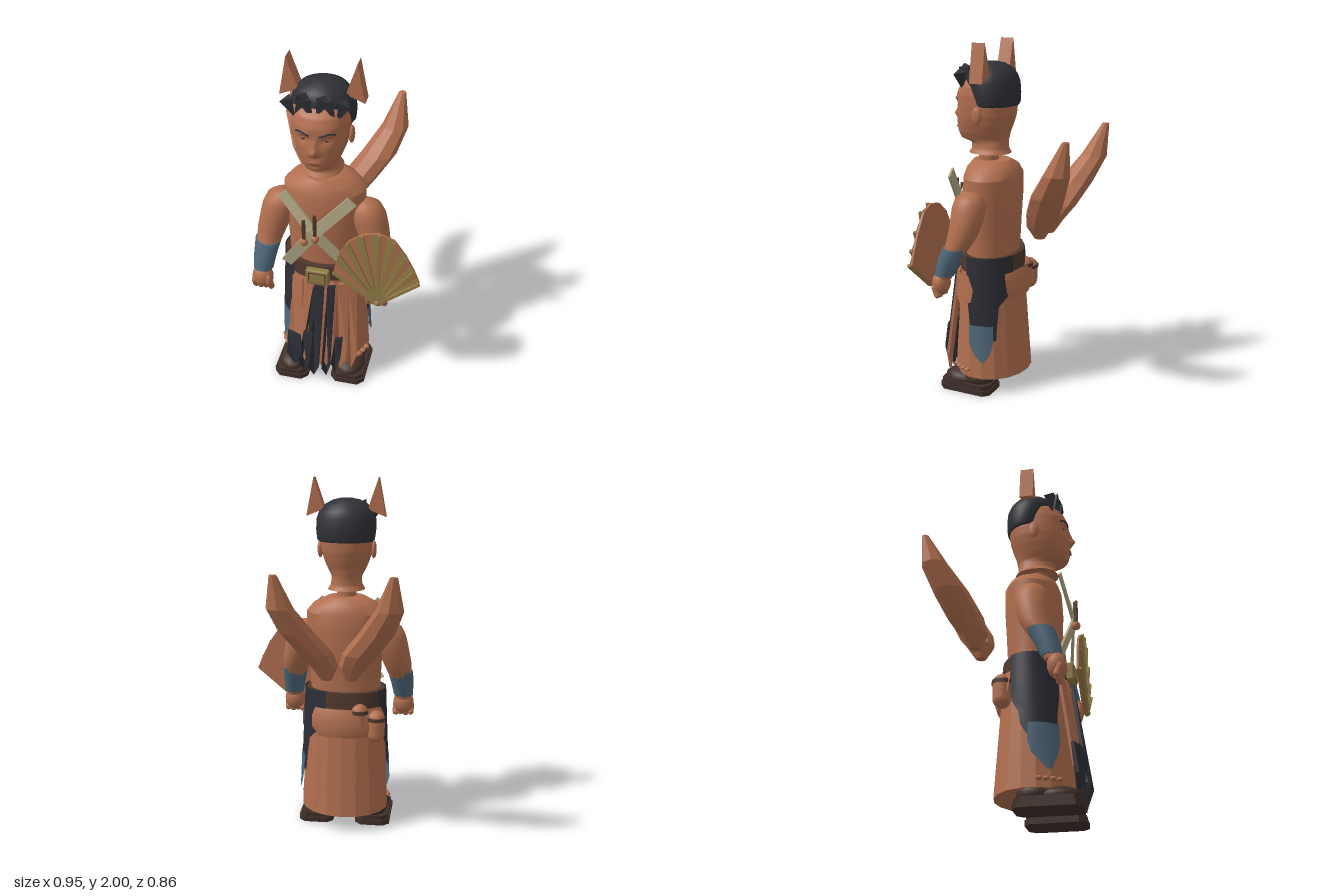
import * as THREE from 'three';
import { toCreasedNormals } from 'three/addons/utils/BufferGeometryUtils.js';
import { RoundedBoxGeometry } from 'three/addons/geometries/RoundedBoxGeometry.js';

const mat = (name, color, side = THREE.FrontSide) => {
  const m = new THREE.MeshStandardMaterial({ color, side });
  m.name = name;
  return m;
};
const D = THREE.DoubleSide;
const skin = mat('tan', 0xb16f4f, D), hairMat = mat('hair black', 0x303136), dark = mat('dark cloth', 0x2d2e36, D);
const blue = mat('slate blue', 0x4f687a, D), leather = mat('belt brown', 0x4f382d), shoeMat = mat('shoe brown', 0x3f2f29);
const cream = mat('sash cream', 0xb3a885), gold = mat('dull gold', 0x917b45, D), lipMat = mat('lip brown', 0x96593f);

const CX = -0.09; // body centre line
const V = (x, y, z) => new THREE.Vector3(x, y, z);
const lerp = THREE.MathUtils.lerp;
const sides = [-1, 1];
const flat = g => { const f = g.toNonIndexed(); f.computeVertexNormals(); return f; };

// horizontal oval cross-section running from z0 (back) to z1 (front)
const oval = (y, cx, rx, z0, z1, n) => Array.from({ length: n }, (_, j) => {
  const a = j / n * Math.PI * 2;
  return V(cx + rx * Math.sin(a), y, (z0 + z1) / 2 + (z1 - z0) / 2 * Math.cos(a));
});

// closed skin through rings listed from bottom to top
function loft(rings) {
  const n = rings[0].length, pos = [], idx = [];
  rings.forEach(r => r.forEach(p => pos.push(p.x, p.y, p.z)));
  for (let i = 0; i < rings.length - 1; i++) for (let j = 0; j < n; j++) {
    const k = (j + 1) % n, a = i * n + j, b = i * n + k;
    idx.push(a, b, b + n, a, b + n, a + n);
  }
  [rings[0], rings[rings.length - 1]].forEach((r, top) => {
    const base = pos.length / 3, c = r.reduce((s, p) => s.add(p), V(0, 0, 0)).divideScalar(n);
    [...r, c].forEach(p => pos.push(p.x, p.y, p.z));
    for (let j = 0; j < n; j++) {
      const k = (j + 1) % n;
      idx.push(base + n, base + (top ? j : k), base + (top ? k : j));
    }
  });
  const g = new THREE.BufferGeometry();
  g.setAttribute('position', new THREE.Float32BufferAttribute(pos, 3));
  g.setIndex(idx);
  g.computeVertexNormals();
  return g;
}

// skirt surface, shared by the skirt and the cloth lying on it
const skirtAt = (a, y, off = 0) => {
  const t = (0.8 - y) / 0.7;
  return V(CX + (lerp(0.22, 0.25, t) + off) * Math.sin(a), y, 0.14 + (lerp(0.165, 0.22, t) + off) * Math.cos(a));
};

// head surface: rows of y, half width, back z, front z, plus soft bumps for the features
const headRows = [[1.385, 0.103, 0.036, 0.275], [1.41, 0.088, 0.05, 0.258], [1.445, 0.083, 0.05, 0.262], [1.462, 0.088, 0.047, 0.325],
  [1.5, 0.108, 0.04, 0.342], [1.55, 0.128, 0.022, 0.344], [1.6, 0.141, 0.008, 0.344], [1.65, 0.147, 0.003, 0.34],
  [1.71, 0.148, 0.006, 0.34], [1.76, 0.142, 0.015, 0.318], [1.8, 0.125, 0.03, 0.26], [1.84, 0.08, 0.07, 0.2]];
const bumps = [[0, 1.587, 0.017, 0.021, 0.03], [0, 1.625, 0.013, 0.03, 0.016], [0.02, 1.575, 0.012, 0.013, 0.008], [0.058, 1.645, 0.028, 0.02, -0.012],
  [0.055, 1.685, 0.035, 0.014, 0.005], [0, 1.522, 0.03, 0.016, 0.007], [0, 1.498, 0.04, 0.01, -0.004], [0, 1.475, 0.03, 0.016, 0.006]];
function headRow(y) {
  let i = 0;
  while (i < headRows.length - 2 && y > headRows[i + 1][0]) i++;
  const p = headRows[i], q = headRows[i + 1], t = (y - p[0]) / (q[0] - p[0]);
  return p.map((v, k) => lerp(v, q[k], t));
}
function headPoint(a, y) {
  const [, rx, zb, zf] = headRow(y), s = Math.sin(a), c = Math.cos(a);
  const x = rx * Math.sign(s) * Math.abs(s) ** 0.95, zc = (zb + zf) / 2;
  let z = zc + (zf - zc) * Math.sign(c) * Math.abs(c) ** 0.85;
  if (c > 0) for (const [bx, by, sx, sy, h] of bumps)
    z += h * Math.exp(-(((Math.abs(x) - bx) / sx) ** 2) - ((y - by) / sy) ** 2);
  return V(CX + x, y, z);
}
const facePoint = (dx, y) => headPoint(Math.sign(dx) * Math.asin((Math.abs(dx) / headRow(y)[1]) ** (1 / 0.95)), y);

export function createModel() {
  const root = new THREE.Group();
  root.name = 'figure';
  const add = (name, g, m, x = 0, y = 0, z = 0) => {
    const o = new THREE.Mesh(g, m);
    o.name = name;
    o.position.set(x, y, z);
    root.add(o);
    return o;
  };
  const ball = (name, m, p, rx, ry = rx, rz = rx, n = 18) => add(name, new THREE.SphereGeometry(1, n, 12), m, p.x, p.y, p.z).scale.set(rx, ry, rz);
  // flat bar between two points, facing forward
  const bar = (name, m, p, q, w, t) => {
    const y = q.clone().sub(p), len = y.length();
    y.normalize();
    const x = y.clone().cross(V(0, 0, 1)).normalize(), z = x.clone().cross(y);
    const g = new THREE.BoxGeometry(w, len, t).applyMatrix4(new THREE.Matrix4().makeBasis(x, y, z));
    const c = p.clone().add(q).multiplyScalar(0.5);
    return add(name, g, m, c.x, c.y, c.z);
  };

  // torso and neck
  add('torso', toCreasedNormals(loft([[0.74, 0.2, 0, 0.28], [0.85, 0.2, -0.005, 0.285], [1, 0.207, -0.012, 0.29], [1.15, 0.222, -0.02, 0.295],
    [1.26, 0.222, -0.02, 0.29], [1.31, 0.18, 0, 0.275], [1.345, 0.105, 0.04, 0.25]].map(r => oval(r[0], CX, r[1], r[2], r[3], 28))), 0.5), skin);
  add('neckStub', new THREE.CylinderGeometry(0.056, 0.056, 0.07, 20), skin, CX, 1.36, 0.165);

  // head
  const headRings = Array.from({ length: 60 }, (_, i) => {
    const y = lerp(1.385, 1.84, i / 59);
    return Array.from({ length: 80 }, (_, j) => headPoint(j / 80 * Math.PI * 2 + 1e-4, y));
  });
  add('head', loft(headRings), skin);
  for (const s of sides) {
    ball('ear', skin, V(CX + s * 0.15, 1.605, 0.165), 0.016, 0.05, 0.03);
    const e = facePoint(s * 0.058, 1.645);
    ball('eye', lipMat, e, 0.022, 0.009, 0.005);
    ball('iris', leather, e.clone().add(V(0, 0, 0.003)), 0.008, 0.007, 0.004);
    const brow = [0.025, 0.05, 0.075, 0.1].map((d, i) => facePoint(s * d, [1.674, 1.684, 1.688, 1.678][i]));
    add('eyebrow', new THREE.TubeGeometry(new THREE.CatmullRomCurve3(brow), 12, 0.005, 6), hairMat);
  }
  ball('lips', lipMat, facePoint(0.0001, 1.522).add(V(0, 0, -0.002)), 0.032, 0.009, 0.005);

  // hair cap, fringe and pointed ears
  add('hair', loft([[1.655, 0.15, -0.004, 0.235], [1.668, 0.16, -0.01, 0.24], [1.72, 0.166, -0.013, 0.255], [1.78, 0.164, -0.01, 0.275],
    [1.82, 0.15, 0.005, 0.272], [1.855, 0.118, 0.03, 0.25], [1.878, 0.075, 0.07, 0.215], [1.888, 0.03, 0.11, 0.17]].map(r => oval(r[0], CX, r[1], r[2], r[3], 36))), hairMat);
  [[-0.22, 1.775, 0.35], [-0.175, 1.805, -0.45], [-0.125, 1.79, 0.3], [-0.07, 1.805, -0.4], [-0.015, 1.795, 0.35], [0.03, 1.785, -0.35]].forEach(([x, y, tilt]) => {
    const g = flat(new THREE.ConeGeometry(0.04, 0.115, 3).rotateY(Math.PI).rotateZ(Math.PI));
    add('fringe', g, hairMat, x, y, 0.287 - 1.2 * (x - CX) ** 2).rotation.z = tilt;
  });
  for (const s of sides) {
    const X = d => CX + s * d;
    const shape = new THREE.Shape([[0.218, 1.79], [0.178, 2], [0.12, 1.83]].map(p => new THREE.Vector2(X(p[0]), p[1])));
    add('pointedEar', new THREE.ExtrudeGeometry(shape, { depth: 0.076, bevelEnabled: false }), skin, 0, 0, 0.097);
  }

  // arms, bracers, hands and faceted wings
  for (const s of sides) {
    const X = d => CX + s * d;
    const tube = (rows, n, grow = 0) => loft(rows.map(([y, d, r, z]) => oval(y, X(d), r + grow, z - r - grow, z + r + grow, n)));
    add('arm', tube([[0.72, 0.325, 0.045, 0.29], [0.82, 0.318, 0.057, 0.258], [0.9, 0.302, 0.07, 0.215], [0.96, 0.29, 0.081, 0.19], [1.05, 0.263, 0.092, 0.173],
      [1.12, 0.245, 0.094, 0.168], [1.17, 0.235, 0.08, 0.168], [1.195, 0.23, 0.05, 0.168], [1.203, 0.228, 0.015, 0.168]], 22), skin);
    add('bracer', toCreasedNormals(tube([[0.74, 0.325, 0.048, 0.283], [0.82, 0.318, 0.057, 0.258], [0.9, 0.307, 0.066, 0.222]], 12, 0.008), 0.6), blue);
    ball('palm', skin, V(X(0.325), 0.69, 0.305), 0.06, 0.07, 0.05);
    for (let i = 0; i < 4; i++) {
      const f = add('finger', new THREE.CapsuleGeometry(0.019, 0.045, 4, 10), skin, X(0.28 + i * 0.029), 0.645 + 0.004 * (i % 2), 0.318);
      f.rotation.x = 0.35;
    }
    ball('thumb', skin, V(X(0.285), 0.68, 0.332), 0.02, 0.04, 0.02);
    add('wing', flat(tube([[0.94, 0.066, 0.03, -0.178], [1.02, 0.08, 0.078, -0.182], [1.1, 0.122, 0.098, -0.22], [1.22, 0.21, 0.096, -0.282],
      [1.36, 0.282, 0.074, -0.36], [1.54, 0.305, 0.02, -0.415]], 8)), skin);
  }

  // crossed sash with hanging pegs
  const mid = V(-0.1, 1.085, 0.355);
  [[V(-0.275, 1.29, 0.31), V(0.09, 0.84, 0.31)], [V(0.095, 1.29, 0.31), V(-0.27, 0.82, 0.305)]].forEach((ends, i) => ends.forEach(e => {
    bar('sash', cream, e, mid.clone().add(V(0, 0, i * 0.006)), 0.062, 0.012);
  }));
  for (const [x, y0, y1] of [[-0.15, 1.04, 1.17], [-0.09, 1.07, 1.21]]) {
    bar('peg', leather, V(x, y0, 0.37), V(x, y1, 0.37), 0.016, 0.016);
    ball('bead', skin, V(x, y0 - 0.01, 0.37), 0.022, 0.024, 0.02);
  }

  // skirt, belt and buckle
  const skirtRing = (y, off, n) => Array.from({ length: n }, (_, j) => skirtAt(j / n * Math.PI * 2, y, off));
  add('skirt', flat(loft([0.1, 0.3, 0.5, 0.78].map(y => skirtRing(y, 0, 18)))), skin);
  add('belt', toCreasedNormals(loft([0.73, 0.82].map(y => skirtRing(y, 0.008, 24))), 0.7), leather);
  add('buckle', new RoundedBoxGeometry(0.13, 0.1, 0.04, 2, 0.01), gold, CX, 0.77, 0.335);
  add('buckleInset', new THREE.BoxGeometry(0.096, 0.068, 0.004), leather, CX, 0.77, 0.355);
  add('buckleFace', new THREE.BoxGeometry(0.086, 0.058, 0.009), gold, CX, 0.77, 0.356);

  // cloth patches wrapped on the skirt: rows of y, first angle, last angle and extra bulge
  function patch(name, m, rows, off) {
    const n = 10, pos = [], idx = [];
    rows.forEach(([y, a0, a1, bulge = 0], i) => {
      for (let j = 0; j <= n; j++) pos.push(...skirtAt(lerp(a0, a1, j / n), y, off + bulge).toArray());
      if (i) for (let j = 0; j < n; j++) {
        const a = (i - 1) * (n + 1) + j, b = a + n + 1;
        idx.push(a, b, b + 1, a, b + 1, a + 1);
      }
    });
    const g = new THREE.BufferGeometry();
    g.setAttribute('position', new THREE.Float32BufferAttribute(pos, 3));
    g.setIndex(idx);
    g.computeVertexNormals();
    add(name, g, m);
  }
  patch('leftHipCloth', dark, [[0.825, 1.22, 2.75], [0.65, 1.24, 2.72], [0.59, 1.25, 2.5], [0.54, 1.34, 2.25], [0.42, 1.42, 2.18], [0.34, 1.85, 2.15]], 0.014);
  patch('leftLegPatch', blue, [[0.43, 1.4, 2.08], [0.32, 1.42, 2.06], [0.26, 1.55, 1.98], [0.21, 1.75, 1.82]], 0.018);
  patch('leftHipFlap', skin, [[0.72, 0.87, 1.37], [0.64, 0.7, 1.54], [0.57, 0.76, 1.48], [0.54, 1, 1.24]], 0.026);
  patch('rightHipCloth', dark, [[0.825, -2.15, -0.65], [0.65, -2.12, -0.68], [0.56, -2.02, -0.74], [0.5, -1.82, -0.8], [0.42, -1.74, -0.84], [0.34, -1.5, -1.25]], 0.014);
  patch('rightLegPatch', blue, [[0.43, -1.56, -0.8], [0.34, -1.58, -0.8], [0.27, -1.48, -0.88], [0.19, -1.15, -1.05]], 0.018);
  patch('backWrap', skin, [[0.73, 2.45, 4.2], [0.69, 2.42, 4.25, 0.014], [0.62, 2.45, 4.22, 0.018], [0.57, 2.6, 4.05]], 0.02);

  // back pouches with dark lids
  for (const [x, y, z] of [[-0.28, 0.63, -0.002], [-0.185, 0.67, -0.008]]) {
    add('pouch', new THREE.CapsuleGeometry(0.05, 0.085, 5, 12), skin, x, y, z);
    add('pouchTrim', new THREE.CylinderGeometry(0.055, 0.055, 0.02, 12), leather, x, y + 0.045, z);
  }

  // hanging front strips: top x, bottom x, top y, bottom y, width
  const strip = (name, m, [xt, xb, yt, yb, w], off) => {
    const ym = yb + 0.09, pts = [[xt - w * 0.4, yt], [xb - w / 2, ym], [xb - w * 0.1, yb], [xb + w / 2, ym + 0.02], [xt + w * 0.4, yt]];
    const g = new THREE.ExtrudeGeometry(new THREE.Shape(pts.map(p => new THREE.Vector2(...p))), { depth: 0.016, bevelEnabled: false });
    const p = g.attributes.position;
    for (let i = 0; i < p.count; i++) {
      const y = p.getY(i), dx = p.getX(i) - CX;
      p.setZ(i, p.getZ(i) + off + 0.308 + (0.7 - y) * 0.15 - Math.max(0, 0.16 - y) * 0.5 - 1.3 * dx * dx);
    }
    g.computeVertexNormals();
    add(name, g, m);
  };
  [[-0.215, -0.22, 0.71, 0.13, 0.08], [-0.145, -0.16, 0.71, 0.16, 0.065], [-0.03, -0.03, 0.71, 0.14, 0.07], [0.045, 0.045, 0.71, 0.11, 0.075], [0.095, 0.105, 0.69, 0.1, 0.055]]
    .forEach(a => strip('tanStrip', skin, a, 0.004));
  [[-0.08, -0.11, 0.71, 0.03, 0.065], [-0.1, -0.17, 0.69, 0.06, 0.04], [-0.015, -0.035, 0.71, 0.05, 0.05], [-0.23, -0.225, 0.34, 0.09, 0.1], [-0.14, -0.165, 0.38, 0.06, 0.07], [0.035, 0.02, 0.36, 0.1, 0.05]]
    .forEach(a => strip('darkStrip', dark, a, 0.024));

  // legs, shoes with clipped corners, and hem studs
  const slab = (w, z0, z1, c, h) => {
    const half = [[w - c, z0], [w, z0 + c], [w, z1 - c], [w - c, z1]];
    const pts = [...half, ...half.map(([x, z]) => [-x, z]).reverse()].map(([x, z]) => new THREE.Vector2(x, -z));
    return new THREE.ExtrudeGeometry(new THREE.Shape(pts), { depth: h, bevelEnabled: false }).rotateX(-Math.PI / 2);
  };
  for (const s of sides) {
    const x = CX + s * 0.166, toe = s < 0 ? 0.405 : 0.375;
    add('ankle', new THREE.CylinderGeometry(0.07, 0.075, 0.12, 12), dark, x, 0.14, 0.17);
    add('sole', slab(0.1, 0.055, toe, 0.035, 0.03), shoeMat, x, 0, 0);
    add('welt', slab(0.092, 0.063, toe - 0.008, 0.035, 0.026), shoeMat, x, 0.03, 0);
    ball('shoeToe', shoeMat, V(x, 0.065, toe - 0.12), 0.086, 0.05, 0.11);
    ball('shoeHeel', shoeMat, V(x, 0.08, 0.16), 0.08, 0.06, 0.095);
    for (let i = 0; i < 4; i++) ball('hemStud', skin, skirtAt(s * (0.85 + i * 0.16), 0.145, 0.006), 0.018, 0.012, 0.018, 8);
  }

  // fan held in the left hand: solid back, folded panels and ribs
  const pivot = V(0.25, 0.67, 0.366);
  const rim = [[0.005, 0.85], [0.035, 0.975], [0.085, 1.065], [0.16, 1.125], [0.25, 1.145], [0.33, 1.115], [0.395, 1.02], [0.44, 0.93], [0.47, 0.855]]
    .map(p => V(p[0], p[1], 0.366));
  const back = new THREE.Shape([pivot, ...rim].map(p => new THREE.Vector2(p.x, p.y)));
  add('fanBack', new THREE.ExtrudeGeometry(back, { depth: 0.012, bevelEnabled: false }), skin, 0, 0, 0.348);
  rim.forEach((p, i) => {
    bar('fanRib', gold, pivot.clone().setZ(0.37), p.clone().setZ(0.371), 0.017, 0.016);
    if (!i) return;
    const a = rim[i - 1], m = a.clone().lerp(p, 0.5).setZ(0.361);
    [[a, m, skin], [m, p, gold]].forEach(([u, v, c]) => {
      const g = new THREE.BufferGeometry().setFromPoints([pivot, v, u]);
      g.computeVertexNormals();
      add('fanPanel', g, c);
    });
  });
  ball('fanPin', gold, pivot.clone().add(V(0, 0.01, 0.005)), 0.018);

  return root;
}
